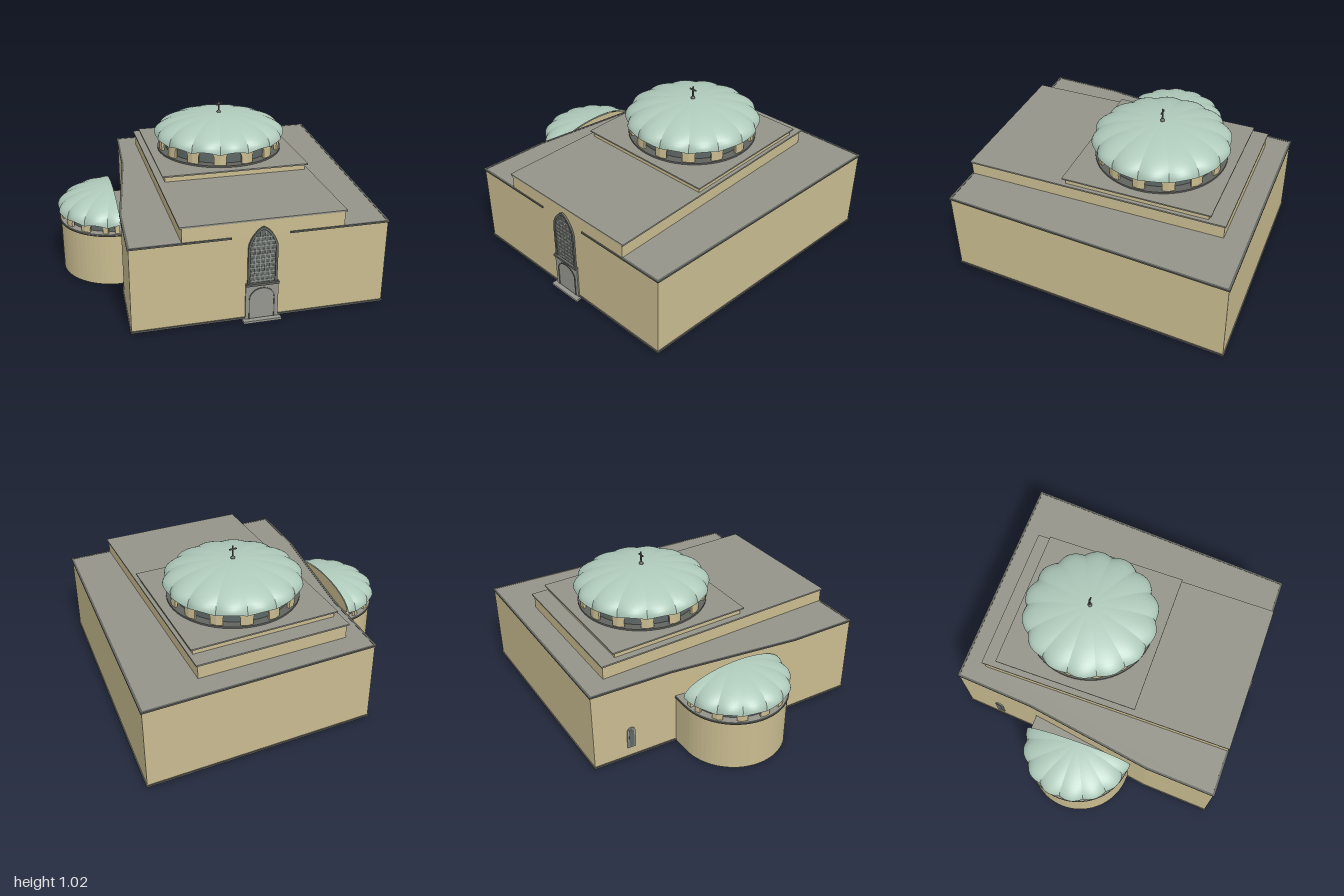
import * as THREE from 'three';
import { mergeGeometries } from 'three/addons/utils/BufferGeometryUtils.js';

const paint = (name, color, double) => {
  const m = new THREE.MeshStandardMaterial({ color });
  m.name = name;
  if (double) m.side = THREE.DoubleSide;
  return m;
};

export function createModel() {
  const model = new THREE.Group();
  model.name = 'domedChurch';
  const wall = paint('sandWall', 0xc9bc90, true);
  const roof = paint('greyRoof', 0x94948a, true);
  const trim = paint('darkTrim', 0x62645f);
  const stone = paint('portalStone', 0x96968f);
  const copper = paint('greenCopper', 0xafcabb, true);
  const glass = paint('darkGlass', 0x5e6866, true);

  const add = (name, geo, mat, x = 0, y = 0, z = 0, parent = model) => {
    const m = new THREE.Mesh(geo, mat);
    m.name = name;
    m.position.set(x, y, z);
    parent.add(m);
    return m;
  };
  const box = (name, mat, x0, x1, y0, y1, z0, z1) =>
    add(name, new THREE.BoxGeometry(x1 - x0, y1 - y0, z1 - z0), mat, (x0 + x1) / 2, (y0 + y1) / 2, (z0 + z1) / 2);

  // Plan outlines are [x, z] pairs, extruded upward
  const plan = (pts) => pts.map(([x, z]) => new THREE.Vector2(x, -z));
  const rect = (x0, x1, z0, z1) => [[x0, z0], [x1, z0], [x1, z1], [x0, z1]];
  const prism = (name, mat, pts, y0, y1, hole) => {
    const s = new THREE.Shape(plan(pts));
    if (hole) s.holes.push(new THREE.Path(plan(hole)));
    const g = new THREE.ExtrudeGeometry(s, { depth: y1 - y0, bevelEnabled: false }).rotateX(-Math.PI / 2);
    return add(name, g, mat, 0, y0);
  };
  // Horizontal moulding along one wall edge
  const strip = (name, mat, [x0, z0], [x1, z1], y0, y1, t) => {
    const len = Math.hypot(x1 - x0, z1 - z0);
    const m = add(name, new THREE.BoxGeometry(len + t, y1 - y0, t), mat, (x0 + x1) / 2, (y0 + y1) / 2, (z0 + z1) / 2);
    m.rotation.y = -Math.atan2(z1 - z0, x1 - x0);
  };
  // Arched outline standing on y = 0; k = 0.55 is round, smaller is pointed
  const arch = (w, h, rise, k, Type = THREE.Shape) => {
    const a = w / 2, s = h - rise, p = new Type();
    p.moveTo(-a, 0);
    p.lineTo(a, 0);
    p.lineTo(a, s);
    p.bezierCurveTo(a, s + rise * 0.55, a * k, h, 0, h);
    p.bezierCurveTo(-a * k, h, -a, s + rise * 0.55, -a, s);
    p.closePath();
    return p;
  };
  const slab = (shape, depth) => new THREE.ExtrudeGeometry(shape, { depth, bevelEnabled: false, curveSegments: 8 });

  // Skewed main hall, hollow and open below
  const outline = [[-0.485, -0.925], [0.985, -0.925], [0.875, 0.89], [-0.67, 0.89], [-0.65, 0.44], [-0.52, -0.4]];
  const inset = outline.map(([x, z]) => [0.15 + (x - 0.15) * 0.98, z * 0.98]);
  prism('hallWalls', wall, outline, 0.015, 0.551, inset);
  prism('hallRoof', roof, outline.map(([x, z]) => [x, Math.min(z, 0.885)]), 0.55, 0.557, rect(-0.355, 0.585, -0.765, 0.87));
  outline.forEach((p, i) => {
    const q = outline[(i + 1) % outline.length];
    strip('baseTrim', trim, p, q, 0.015, 0.026, 0.014);
    if (i !== 2) strip('cornice', trim, p, q, 0.549, 0.559, 0.014);
  });
  strip('frontCornice', trim, [-0.67, 0.89], [-0.09, 0.89], 0.549, 0.559, 0.014);
  strip('frontCornice', trim, [0.275, 0.89], [0.875, 0.89], 0.549, 0.559, 0.014);

  // Raised nave and the square step under the dome
  prism('naveWalls', wall, rect(-0.37, 0.6, -0.78, 0.89), 0.545, 0.648, rect(-0.355, 0.585, -0.765, 0.87));
  box('naveRoof', roof, -0.383, 0.612, 0.646, 0.656, -0.79, 0.893);
  box('domeStep', wall, -0.338, 0.588, 0.655, 0.693, -0.68, 0.235);
  box('domeStepRoof', roof, -0.355, 0.604, 0.692, 0.701, -0.697, 0.253);

  // Scalloped dome; creases lie at multiples of the lobe angle
  const N = 14, LOBE = (2 * Math.PI) / N;
  const domeGeometry = (R, H, angles) => {
    const lobes = [];
    for (let i = 0; i + 1 < angles.length; i++) {
      const g = new THREE.PlaneGeometry(1, 1, 10, 14);
      const p = g.attributes.position;
      for (let j = 0; j < p.count; j++) {
        const a = THREE.MathUtils.lerp(angles[i], angles[i + 1], p.getX(j) + 0.5);
        const t = 0.5 - p.getY(j);
        const bulge = Math.abs(Math.sin((a * N) / 2));
        const r = R * Math.sin((t * Math.PI) / 2) * (0.95 + 0.05 * bulge);
        const y = H * Math.cos((t * Math.PI) / 2) - 0.024 * (1 - bulge) * t ** 8;
        p.setXYZ(j, r * Math.cos(a), y, -r * Math.sin(a));
      }
      g.computeVertexNormals();
      lobes.push(g);
    }
    return mergeGeometries(lobes);
  };
  // Ring of arched openings, one below each lobe
  const arcade = (name, cx, y, cz, apothem, h, first, count) => {
    const w = 2 * apothem * Math.tan(LOBE / 2);
    const s = new THREE.Shape([[-w / 2, 0], [w / 2, 0], [w / 2, h], [-w / 2, h]].map((p) => new THREE.Vector2(...p)));
    s.holes.push(arch(w * 0.56, h * 0.9, Math.min(w * 0.28, h * 0.6), 0.55, THREE.Path));
    const g = slab(s, 0.018).translate(0, 0, apothem - 0.018);
    for (let i = 0; i < count; i++) {
      const a = (first + i + 0.5) * LOBE;
      add(name, g, wall, cx, y, cz).rotation.y = a + Math.PI / 2;
    }
  };

  // Main dome
  const cx = 0.125, cz = -0.22;
  add('drumBase', new THREE.CylinderGeometry(0.42, 0.42, 0.012, 56), trim, cx, 0.706, cz);
  add('drumGlass', new THREE.CylinderGeometry(0.365, 0.365, 0.1, 56), glass, cx, 0.76, cz);
  arcade('drumArch', cx, 0.711, cz, 0.402, 0.105, 0, N);
  add('mainDome', domeGeometry(0.442, 0.135, Array.from({ length: N + 1 }, (_, i) => i * LOBE)), copper, cx, 0.805, cz);

  // Finial cross
  add('crossBase', new THREE.SphereGeometry(0.014, 12, 8), trim, cx, 0.943, cz);
  box('crossPost', trim, cx - 0.004, cx + 0.004, 0.94, 1.025, cz - 0.004, cz + 0.004);
  box('crossArm', trim, cx - 0.025, cx + 0.025, 0.999, 1.007, cz - 0.004, cz + 0.004);

  // Half-round apse on the -x side
  const ax = -0.64, az = -0.03;
  const apsePlan = (r) => {
    const pts = [[-0.525, az - r], [-0.625, az + r]];
    for (let i = 0; i <= 32; i++) {
      const a = Math.PI * (1.5 - i / 32);
      pts.push([ax + r * Math.cos(a), az - r * Math.sin(a)]);
    }
    return pts;
  };
  prism('apseWall', wall, apsePlan(0.342), 0.015, 0.357);
  prism('apseLedge', trim, apsePlan(0.35), 0.355, 0.362);
  prism('apseLedgeTop', roof, apsePlan(0.346), 0.362, 0.368);
  add('apseGlass', new THREE.CylinderGeometry(0.298, 0.298, 0.075, 32, 1, false, Math.PI, Math.PI), glass, ax, 0.403, az);
  arcade('apseArch', ax, 0.367, az, 0.328, 0.07, 4, 6);
  for (const s of [-1, 1]) box('apseEndPier', wall, ax - 0.03, ax, 0.367, 0.435, az + s * 0.32 - 0.012, az + s * 0.32 + 0.012);
  const cuts = [Math.PI / 2];
  for (let i = 4; i <= 10; i++) cuts.push(i * LOBE);
  cuts.push(1.5 * Math.PI);
  add('apseDome', domeGeometry(0.36, 0.128, cuts), copper, ax, 0.432, az);
  const back = add('apseBackWall', new THREE.CircleGeometry(0.35, 32, 0, Math.PI).scale(1, 0.35, 1), wall, ax, 0.432, az);
  back.rotation.y = Math.PI / 2;
  box('apseBackBase', wall, ax - 0.006, ax, 0.367, 0.433, az - 0.33, az + 0.33);

  // Tall pointed window over the entrance
  const fx = 0.105;
  const frame = arch(0.18, 0.37, 0.14, 0.22);
  frame.holes.push(arch(0.152, 0.352, 0.125, 0.22, THREE.Path));
  add('windowFrame', slab(frame, 0.035), trim, fx, 0.24, 0.867);
  add('windowGlass', slab(arch(0.154, 0.354, 0.126, 0.22), 0.028), glass, fx, 0.24, 0.867);
  for (let i = 0; i < 11; i++) {
    const y = 0.265 + i * 0.028;
    const half = y < 0.48 ? 0.074 : 0.074 * Math.sqrt(Math.max(0, 1 - ((y - 0.48) / 0.115) ** 2));
    box('windowBar', stone, fx - half, fx + half, y - 0.004, y + 0.004, 0.893, 0.898);
  }
  for (const [dx, top] of [[-0.045, 0.55], [-0.015, 0.58], [0.015, 0.58], [0.045, 0.55]])
    box('windowMullion', stone, fx + dx - 0.003, fx + dx + 0.003, 0.245, top, 0.893, 0.898);
  box('windowSill', trim, fx - 0.1, fx + 0.1, 0.236, 0.25, 0.88, 0.912);

  // Entrance portal and step
  box('portal', stone, fx - 0.1, fx + 0.1, 0.014, 0.238, 0.88, 0.899);
  const doorFrame = arch(0.158, 0.202, 0.07, 0.55);
  doorFrame.holes.push(arch(0.146, 0.195, 0.066, 0.55, THREE.Path));
  add('doorFrame', slab(doorFrame, 0.006), trim, fx, 0.015, 0.897);
  add('doorBack', slab(arch(0.15, 0.2, 0.07, 0.55), 0.02), stone, fx, 0.015, 0.865);
  box('entranceStep', stone, -0.012, 0.22, 0, 0.014, 0.875, 0.93);

  // Small arched window in the -x wall, near the back
  const side = new THREE.Group();
  side.name = 'sideWindow';
  side.position.set(-0.501, 0.09, -0.68);
  side.rotation.y = -Math.PI / 2 - 0.066;
  model.add(side);
  add('sideWindowFrame', slab(arch(0.055, 0.15, 0.0275, 0.55), 0.03), stone, 0, 0, -0.022, side);
  add('sideWindowGlass', slab(arch(0.034, 0.13, 0.017, 0.55), 0.004), glass, 0, 0.008, 0.006, side);

  return model;
}
